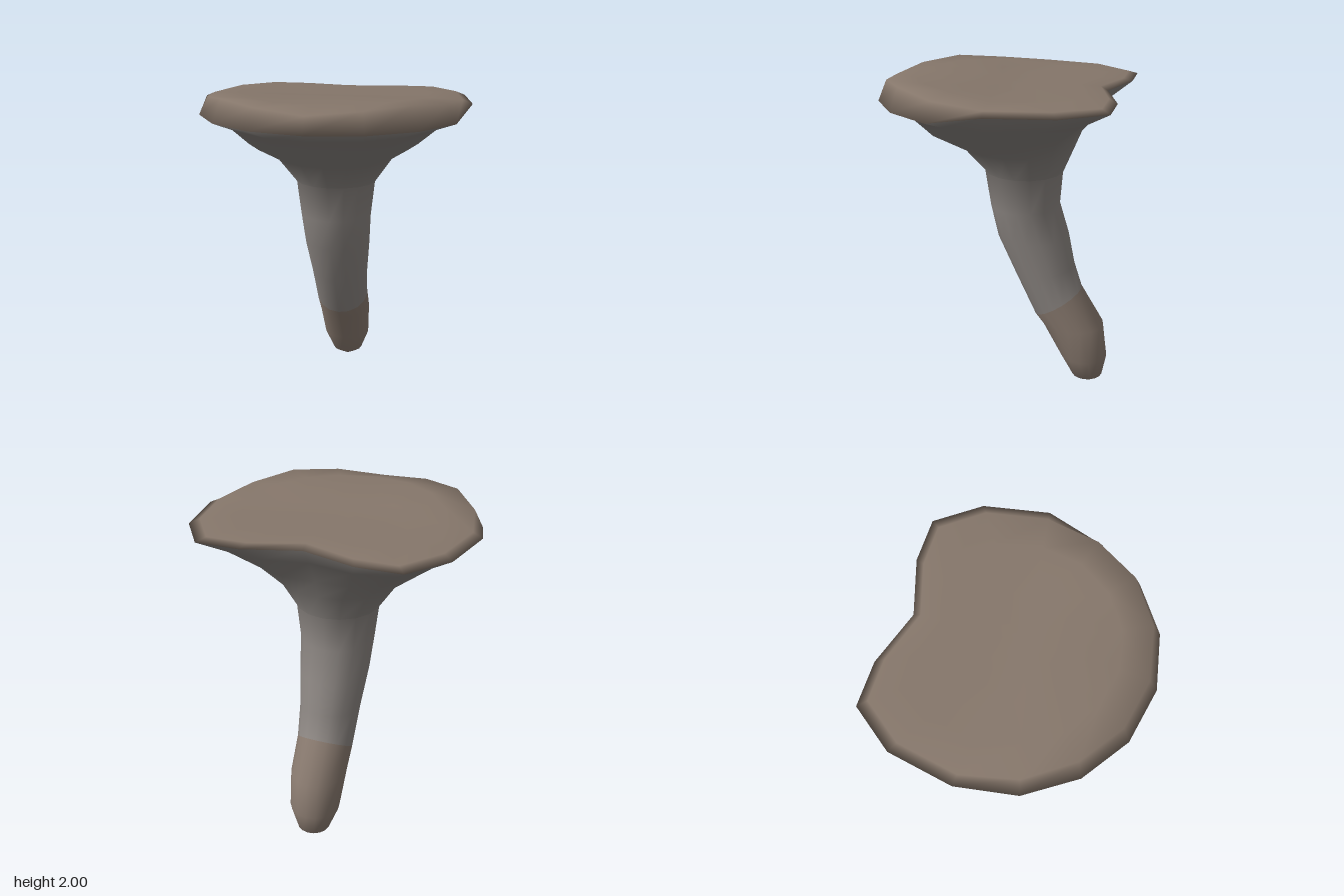
import * as THREE from 'three';

const SIDES = 16;

// half outline of the cap, front centre to back notch: x, z, rim height, top edge height
const OUTLINE = [
  [0, 0.725, 1.865, 1.96], [0.32, 0.66, 1.865, 1.985], [0.58, 0.48, 1.865, 2.0],
  [0.76, 0.21, 1.865, 1.972], [0.83, -0.12, 1.93, 1.955], [0.76, -0.49, 1.93, 1.955],
  [0.58, -0.73, 1.93, 1.95], [0.32, -0.73, 1.93, 1.95], [0, -0.63, 1.93, 1.955],
];

// stem sections: front z, front y, back z, back y, half width, share of cap outline
const SECTIONS = [
  [0.58, 1.805, -0.61, 1.83, 0.68, 0.75],
  [0.46, 1.69, -0.50, 1.69, 0.52, 0.35],
  [0.25, 1.585, -0.45, 1.58, 0.36, 0.1],
  [0.10, 1.425, -0.38, 1.42, 0.25, 0],
  [0.065, 1.2, -0.365, 1.2, 0.225, 0],
  [0.02, 1.0, -0.43, 1.0, 0.21, 0],
  [-0.10, 0.74, -0.47, 0.81, 0.185, 0],
  [-0.23, 0.47, -0.52, 0.66, 0.173, 0],
  [-0.28, 0.41, -0.67, 0.42, 0.17, 0],
  [-0.40, 0.2, -0.70, 0.2, 0.155, 0],
  [-0.48, 0.055, -0.675, 0.06, 0.10, 0],
];

// mirrored outline point for side i
function outline(i) {
  const [x, z, rim, top] = OUTLINE[i <= 8 ? i : SIDES - i];
  return { x: i <= 8 ? x : -x, z, rim, top };
}

// gentle step across the top face
const topHeight = (z) => 1.958 + 0.037 * THREE.MathUtils.smoothstep(z, -0.2, 0.25);

function makeRings() {
  const ring = (f) => Array.from({ length: SIDES }, (_, i) => f(outline(i), i));
  const rings = [ring(() => [0, topHeight(0), 0])];
  // top face
  for (const s of [0.35, 0.7]) rings.push(ring((o) => [o.x * s, topHeight(o.z * s), o.z * s]));
  rings.push(ring((o) => [o.x * 0.93, o.top, o.z * 0.93]));
  // rim
  rings.push(ring((o) => [o.x, o.rim, o.z]));
  // flare and stem
  for (const [zf, yf, zb, yb, w, share] of SECTIONS) {
    rings.push(ring((o, i) => {
      const a = (i / SIDES) * Math.PI * 2;
      const u = THREE.MathUtils.lerp(Math.sin(a), o.x / 0.83, share);
      const v = THREE.MathUtils.lerp(Math.cos(a), o.z / 0.728, share);
      const t = (1 - v) / 2;
      return [u * w, yf + (yb - yf) * t, zf + (zb - zf) * t];
    }));
  }
  // pointed tip
  rings.push(ring(() => [0, 0, -0.575]));
  return rings;
}

// triangles between consecutive rings; end rings collapse to a pole
function bandIndex(from, to, last) {
  const index = [];
  const id = (k, i) => (k === 0 || k === last ? k * SIDES : k * SIDES + (i % SIDES));
  for (let k = from; k < to; k++) {
    for (let i = 0; i < SIDES; i++) {
      const a = id(k, i), b = id(k, i + 1), c = id(k + 1, i), d = id(k + 1, i + 1);
      if (a !== b) index.push(a, c, b);
      if (c !== d) index.push(b, c, d);
    }
  }
  return index;
}

export function createModel() {
  const group = new THREE.Group();
  group.name = 'flaredPeg';
  const rings = makeRings();
  const last = rings.length - 1;

  // whole skin, so that normals run smoothly across the parts
  const skin = new THREE.BufferGeometry();
  skin.setAttribute('position', new THREE.Float32BufferAttribute(rings.flat(2), 3));
  skin.setIndex(bandIndex(0, last, last));
  skin.computeVertexNormals();

  const addPart = (name, from, to, color) => {
    const geometry = new THREE.BufferGeometry();
    geometry.setAttribute('position', skin.getAttribute('position').clone());
    geometry.setAttribute('normal', skin.getAttribute('normal').clone());
    geometry.setIndex(bandIndex(from, to, last));
    const mesh = new THREE.Mesh(geometry, new THREE.MeshStandardMaterial({ color }));
    mesh.name = name;
    group.add(mesh);
  };

  addPart('cap', 0, 4, 0x85766a);
  addPart('flare', 4, 8, 0x85807c);
  addPart('stem', 8, 12, 0x8c8682);
  addPart('tip', 12, last, 0x8a7b70);
  return group;
}
